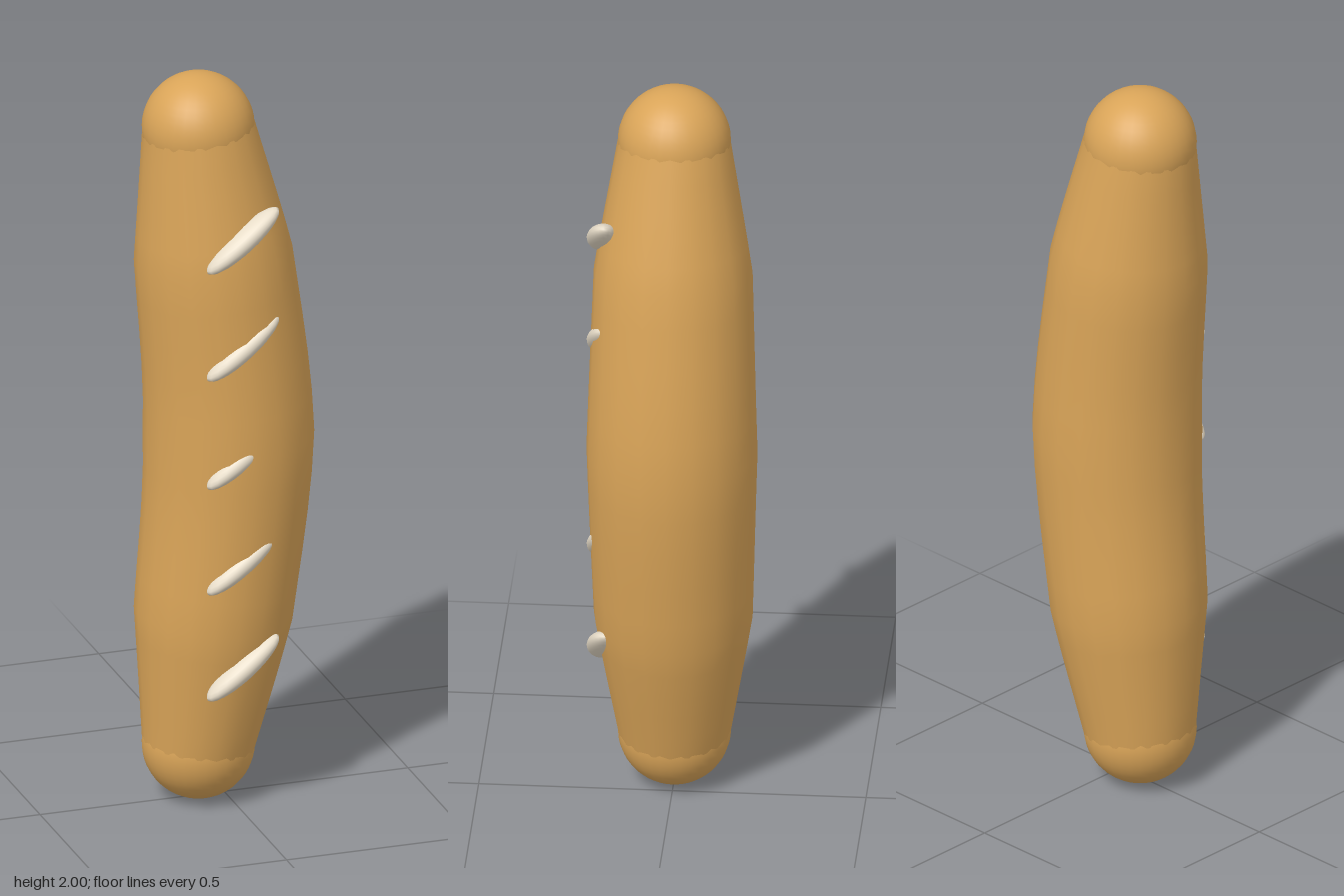
import * as THREE from 'three';

const SIDES = 20;
// Loaf stations, bottom to top: [centre x, y, radius]
const STATIONS = [
  [-0.07, 0.146, 0.146],
  [-0.03, 0.5, 0.205],
  [0.012, 1.0, 0.221],
  [-0.03, 1.5, 0.205],
  [-0.07, 1.854, 0.146],
];

// Closed rings swept along a curved spine, each square to the spine
function loafGeometry() {
  const spine = new THREE.CatmullRomCurve3(STATIONS.map(([x, y]) => new THREE.Vector3(x, y, 0)));
  const steps = 20, perSpan = steps / (STATIONS.length - 1);
  const positions = [], index = [];
  for (let i = 0; i <= steps; i++) {
    const p = spine.getPoint(i / steps), t = spine.getTangent(i / steps);
    const span = Math.min(Math.floor(i / perSpan), STATIONS.length - 2);
    const r = THREE.MathUtils.lerp(STATIONS[span][2], STATIONS[span + 1][2], i / perSpan - span);
    for (let j = 0; j < SIDES; j++) {
      const a = (j / SIDES) * Math.PI * 2, c = r * Math.cos(a);
      positions.push(p.x + c * t.y, p.y - c * t.x, r * Math.sin(a));
      if (i < steps) {
        const k = (j + 1) % SIDES, lo = i * SIDES, hi = lo + SIDES;
        index.push(lo + j, hi + j, lo + k, hi + j, hi + k, lo + k);
      }
    }
  }
  const geometry = new THREE.BufferGeometry();
  geometry.setAttribute('position', new THREE.Float32BufferAttribute(positions, 3));
  geometry.setIndex(index);
  geometry.computeVertexNormals();
  return geometry;
}

export function createModel() {
  const crust = new THREE.MeshStandardMaterial({ color: 0xd9a458 });
  crust.name = 'golden crust';
  const crumb = new THREE.MeshStandardMaterial({ color: 0xeadfcb });
  crumb.name = 'pale crumb';

  const group = new THREE.Group();
  group.name = 'breadLoaf';
  const add = (name, geometry, material, x, y, z) => {
    const mesh = new THREE.Mesh(geometry, material);
    mesh.name = name;
    mesh.position.set(x, y, z);
    group.add(mesh);
    return mesh;
  };

  add('loafBody', loafGeometry(), crust, 0, 0, 0);

  // Rounded ends
  const end = new THREE.SphereGeometry(0.146, 32, 24);
  add('bottomEnd', end, crust, -0.07, 0.146, 0);
  add('topEnd', end, crust, -0.07, 1.854, 0);

  // Slanted scores along the front
  const score = new THREE.SphereGeometry(1, 20, 14).scale(0.125, 0.029, 0.041);
  [0.413, 0.707, 1.0, 1.3, 1.597].forEach((y, i) => {
    add('score' + (i + 1), score, crumb, -0.01, y, 0.181).rotation.set(0, 0.1, 0.64);
  });

  return group;
}
